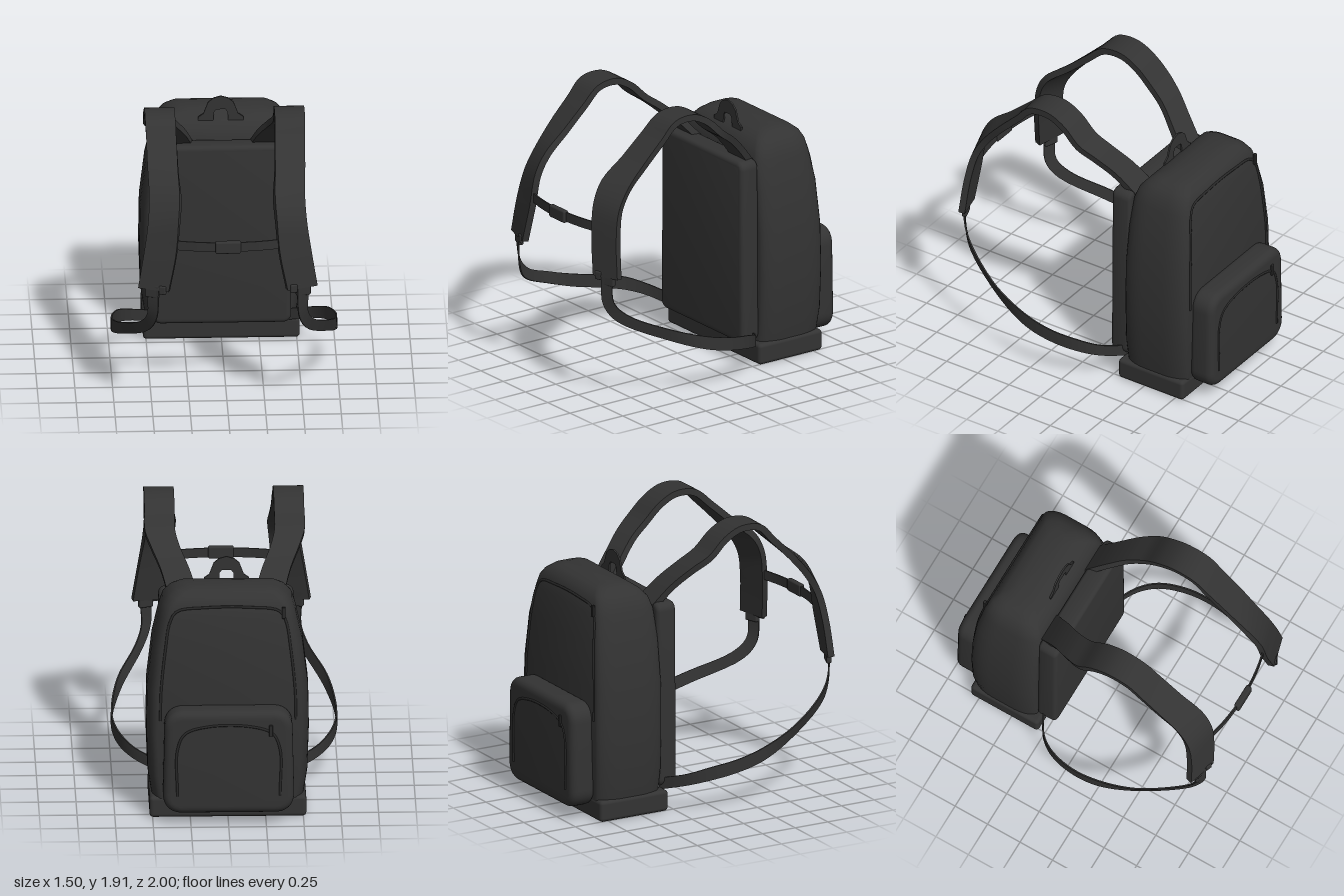
import * as THREE from 'three';
import { toCreasedNormals } from 'three/addons/utils/BufferGeometryUtils.js';
import { RoundedBoxGeometry } from 'three/addons/geometries/RoundedBoxGeometry.js';

const V = (x, y, z) => new THREE.Vector3(x, y, z);

// Solid skin through equal-length rings, closed at both ends
function loft(rings, crease = 0.6) {
  const pos = [];
  const tri = (...pts) => pts.forEach((p) => pos.push(p.x, p.y, p.z));
  const n = rings[0].length;
  for (let i = 0; i < rings.length - 1; i++) {
    for (let k = 0; k < n; k++) {
      const a = rings[i][k], b = rings[i][(k + 1) % n];
      const c = rings[i + 1][(k + 1) % n], d = rings[i + 1][k];
      tri(a, b, c);
      tri(a, c, d);
    }
  }
  const cap = (ring, flip) => {
    const mid = ring.reduce((s, p) => s.add(p), V(0, 0, 0)).divideScalar(n);
    ring.forEach((p, k) => {
      const q = ring[(k + 1) % n];
      flip ? tri(mid, q, p) : tri(mid, p, q);
    });
  };
  cap(rings[0], true);
  cap(rings[rings.length - 1], false);
  const geo = new THREE.BufferGeometry();
  geo.setAttribute('position', new THREE.Float32BufferAttribute(pos, 3));
  return toCreasedNormals(geo, crease);
}

// Flat band between two edge paths; side = -1 mirrors it across x
function band(edgeA, edgeB, thickness, side = 1, steps = 40) {
  const curve = (pts) => new THREE.CatmullRomCurve3(pts.map(([x, y, z]) => V(x * side, y, z)));
  let a = curve(edgeA), b = curve(edgeB);
  if (side < 0) [a, b] = [b, a];
  const mid = (u) => a.getPoint(u).add(b.getPoint(u)).multiplyScalar(0.5);
  const rings = [];
  for (let i = 0; i <= steps; i++) {
    const u = i / steps, pa = a.getPoint(u), pb = b.getPoint(u);
    const t = mid(Math.min(1, u + 0.01)).sub(mid(Math.max(0, u - 0.01)));
    const n = pb.clone().sub(pa).cross(t).setLength(thickness / 2);
    rings.push([pa.clone().add(n), pb.clone().add(n), pb.clone().sub(n), pa.clone().sub(n)]);
  }
  return loft(rings);
}

// Horizontal rounded rectangle
function section([y, hw, zf, zb]) {
  const rx = 0.07, rz = (zf - zb) * 0.33, ring = [];
  const corners = [[hw - rx, zf - rz, -90], [hw - rx, zb + rz, 0], [rx - hw, zb + rz, 90], [rx - hw, zf - rz, 180]];
  for (const [cx, cz, start] of corners) {
    for (let i = 0; i <= 6; i++) {
      const t = THREE.MathUtils.degToRad(start + i * 15);
      ring.push(V(cx + rx * Math.cos(t), y, cz - rz * Math.sin(t)));
    }
  }
  return ring;
}

// Padded slab in the xy plane with soft edges, from z0 to z1
function pad(wBottom, wTop, y0, y1, z0, z1, radius, bevel) {
  const b = bevel, wb = wBottom - b, wt = wTop - b, lo = y0 + b, hi = y1 - b, r = radius;
  const s = new THREE.Shape();
  s.moveTo(r - wb, lo);
  s.lineTo(wb - r, lo);
  s.quadraticCurveTo(wb, lo, wb, lo + r);
  s.lineTo(wt, hi - r);
  s.quadraticCurveTo(wt, hi, wt - r, hi);
  s.lineTo(r - wt, hi);
  s.quadraticCurveTo(-wt, hi, -wt, hi - r);
  s.lineTo(-wb, lo + r);
  s.quadraticCurveTo(-wb, lo, r - wb, lo);
  const geo = new THREE.ExtrudeGeometry(s, {
    depth: z1 - z0 - 2 * b, bevelThickness: b, bevelSize: b, bevelSegments: 5, curveSegments: 8,
  });
  return toCreasedNormals(geo.translate(0, 0, z0 + b), 0.6);
}

export function createModel() {
  const group = new THREE.Group();
  const fabric = new THREE.MeshStandardMaterial({ color: 0x333333 });
  fabric.name = 'charcoal fabric';
  const trim = new THREE.MeshStandardMaterial({ color: 0x282828 });
  trim.name = 'dark trim';
  const add = (name, geo, mat = fabric) => {
    const mesh = new THREE.Mesh(geo, mat);
    mesh.name = name;
    group.add(mesh);
    return mesh;
  };
  const box = (name, w, h, d, x, y, z, r = 0.01, mat = fabric) => {
    const mesh = add(name, new RoundedBoxGeometry(w, h, d, 3, r), mat);
    mesh.position.set(x, y, z);
    return mesh;
  };

  // Main compartment: y, half width, front z, rear z
  add('mainBody', loft([
    [0.1, 0.5, -0.335, -0.81], [0.3, 0.53, -0.33, -0.825], [0.6, 0.54, -0.33, -0.83],
    [0.9, 0.535, -0.33, -0.825], [1.2, 0.5, -0.335, -0.81], [1.4, 0.455, -0.345, -0.785],
    [1.48, 0.43, -0.37, -0.77], [1.53, 0.39, -0.41, -0.75], [1.565, 0.34, -0.46, -0.71],
    [1.58, 0.27, -0.53, -0.65],
  ].map(section), 1.0));

  // Base, padded panel against the wearer, outer pocket
  box('base', 1.04, 0.145, 0.52, 0, 0.0775, -0.555, 0.025);
  add('paddedPanel', pad(0.46, 0.45, 0.155, 1.43, -0.34, -0.195, 0.03, 0.03));
  add('pocket', pad(0.435, 0.425, 0.09, 0.81, -0.985, -0.8, 0.08, 0.05));

  // Carry handle
  const arch = new THREE.Shape([
    [-0.15, 1.52], [-0.15, 1.555], [-0.115, 1.58], [-0.085, 1.66], [-0.05, 1.69], [0, 1.705],
    [0.05, 1.69], [0.085, 1.66], [0.115, 1.58], [0.15, 1.555], [0.15, 1.52], [0.05, 1.52],
    [0.045, 1.59], [0.03, 1.61], [-0.03, 1.61], [-0.045, 1.59], [-0.05, 1.52],
  ].map(([x, y]) => new THREE.Vector2(x, y)));
  add('carryHandle', new THREE.ExtrudeGeometry(arch, { depth: 0.012, bevelEnabled: false }).translate(0, 0, -0.424));

  // Shoulder straps: inner and outer edges from the panel over to the free end
  const strapInner = [
    [0.18, 1.38, -0.34], [0.24, 1.53, -0.21], [0.3, 1.64, -0.09], [0.33, 1.72, 0.02], [0.33, 1.83, 0.14],
    [0.33, 1.885, 0.26], [0.33, 1.87, 0.4], [0.325, 1.77, 0.52], [0.32, 1.63, 0.68], [0.31, 1.5, 0.84],
    [0.32, 1.37, 0.91], [0.34, 1.15, 0.94], [0.39, 0.89, 0.965],
  ];
  const strapOuter = [
    [0.38, 1.38, -0.34], [0.43, 1.53, -0.21], [0.49, 1.64, -0.09], [0.53, 1.72, 0.02], [0.53, 1.83, 0.14],
    [0.53, 1.885, 0.26], [0.53, 1.87, 0.4], [0.525, 1.77, 0.5], [0.52, 1.63, 0.64], [0.51, 1.48, 0.77],
    [0.52, 1.34, 0.85], [0.55, 1.15, 0.89], [0.59, 0.9, 0.91],
  ];
  // Adjuster webbing from the free end back to the base
  const webUpper = [
    [0.54, 0.9, 0.93], [0.53, 0.72, 0.91], [0.57, 0.62, 0.82], [0.69, 0.5, 0.56], [0.74, 0.41, 0.3],
    [0.74, 0.36, 0.1], [0.69, 0.32, -0.08], [0.6, 0.27, -0.2], [0.42, 0.21, -0.31],
  ];
  const webLower = [
    [0.46, 0.9, 0.965], [0.47, 0.7, 0.955], [0.52, 0.58, 0.88], [0.67, 0.42, 0.56], [0.74, 0.32, 0.3],
    [0.74, 0.27, 0.1], [0.69, 0.23, -0.08], [0.6, 0.19, -0.2], [0.42, 0.13, -0.31],
  ];
  for (const side of [1, -1]) {
    const word = side > 0 ? 'left' : 'right';
    add(word + 'ShoulderStrap', band(strapInner, strapOuter, 0.045, side, 60));
    add(word + 'Webbing', band(webLower, webUpper, 0.01, side));
    box(word + 'Adjuster', 0.1, 0.09, 0.035, 0.5 * side, 0.885, 0.935).rotation.y = 0.35 * side;
    box(word + 'AdjusterLoop', 0.05, 0.06, 0.025, 0.435 * side, 0.9, 0.968).rotation.y = 0.35 * side;
  }

  // Chest strap and its buckle
  const chest = (y) => [[-0.37, y, 0.925], [-0.2, y, 0.96], [0, y, 0.975], [0.2, y, 0.96], [0.37, y, 0.925]];
  add('chestStrap', band(chest(1.175), chest(1.24), 0.01, -1));
  box('chestBuckle', 0.17, 0.085, 0.04, 0, 1.208, 0.978, 0.012);

  // Zips: half of an arch given as points, mirrored to the other side
  const zip = (name, half) => {
    const pts = [...half, ...half.slice().reverse().map(([x, y, z]) => [-x, y, z])].map((p) => V(...p));
    add(name, new THREE.TubeGeometry(new THREE.CatmullRomCurve3(pts), 70, 0.009, 6), trim);
  };
  zip('mainZip', [
    [0.45, 0.7, -0.829], [0.445, 0.9, -0.825], [0.415, 1.2, -0.81], [0.385, 1.38, -0.788],
    [0.34, 1.45, -0.776], [0.15, 1.475, -0.772],
  ]);
  zip('pocketZip', [[0.34, 0.22, -0.984], [0.34, 0.55, -0.984], [0.29, 0.66, -0.984], [0.14, 0.71, -0.984]]);
  box('mainZipPull', 0.025, 0.08, 0.02, -0.37, 1.44, -0.79, 0.005, trim);
  box('pocketZipPull', 0.025, 0.08, 0.016, -0.28, 0.68, -0.99, 0.005, trim);

  return group;
}
